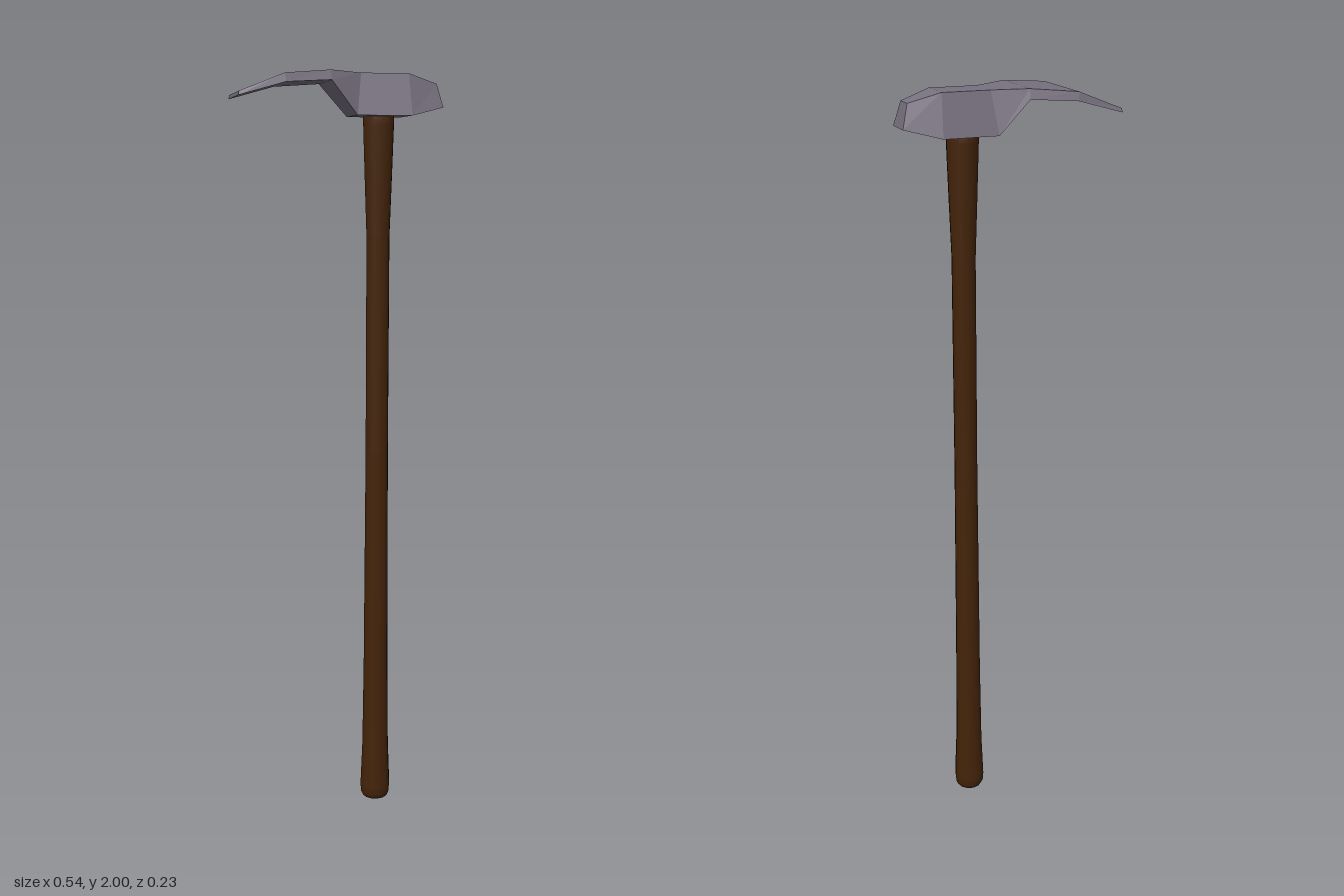
import * as THREE from 'three';

const steel = new THREE.MeshStandardMaterial({ color: 0x787180, flatShading: true });
steel.name = 'steel grey';
const wood = new THREE.MeshStandardMaterial({ color: 0x442409 });
wood.name = 'dark wood';

// Loft of four-cornered sections: [topX, topY, topHalfWidth, bottomX, bottomY, bottomHalfWidth]
function loft(sections) {
  const rings = sections.map(([tx, ty, tw, bx, by, bw]) => [
    [tx, ty, tw], [tx, ty, -tw], [bx, by, -bw], [bx, by, bw],
  ]);
  const pos = [];
  const quad = (a, b, c, d) => pos.push(...a, ...b, ...c, ...a, ...c, ...d);
  for (let i = 0; i < rings.length - 1; i++) {
    for (let k = 0; k < 4; k++) {
      const n = (k + 1) % 4;
      quad(rings[i][k], rings[i + 1][k], rings[i + 1][n], rings[i][n]);
    }
  }
  const [a, b, c, d] = rings[0];
  quad(a, b, c, d);
  const [e, f, g, h] = rings[rings.length - 1];
  quad(e, h, g, f);
  const geo = new THREE.BufferGeometry();
  geo.setAttribute('position', new THREE.Float32BufferAttribute(pos, 3));
  geo.computeVertexNormals();
  return geo;
}

export function createModel() {
  const model = new THREE.Group();
  model.name = 'adze';

  // Head: thin flared blade on the right, solid poll on the left
  const head = new THREE.Mesh(loft([
    [-0.27, 1.945, 0.109, -0.271, 1.935, 0.113],
    [-0.155, 1.99, 0.109, -0.152, 1.968, 0.114],
    [-0.035, 2.0, 0.088, -0.034, 1.975, 0.095],
    [0.05, 1.996, 0.048, 0.037, 1.89, 0.072],
    [0.175, 1.996, 0.048, 0.18, 1.89, 0.072],
    [0.254, 1.972, 0.026, 0.27, 1.912, 0.039],
  ]), steel);
  head.name = 'head';
  model.add(head);

  // Handle: slim shaft swelling at the head and at the rounded foot
  const profile = [
    [0, 0], [0.034, 0], [0.04, 0.012], [0.042, 0.035], [0.037, 0.16], [0.034, 0.4],
    [0.031, 1.0], [0.031, 1.58], [0.036, 1.72], [0.041, 1.87], [0.041, 1.94], [0, 1.94],
  ].map(([r, y]) => new THREE.Vector2(r, y));
  const handle = new THREE.Mesh(new THREE.LatheGeometry(profile, 12), wood);
  handle.name = 'handle';
  handle.position.x = 0.107;
  model.add(handle);

  return model;
}
